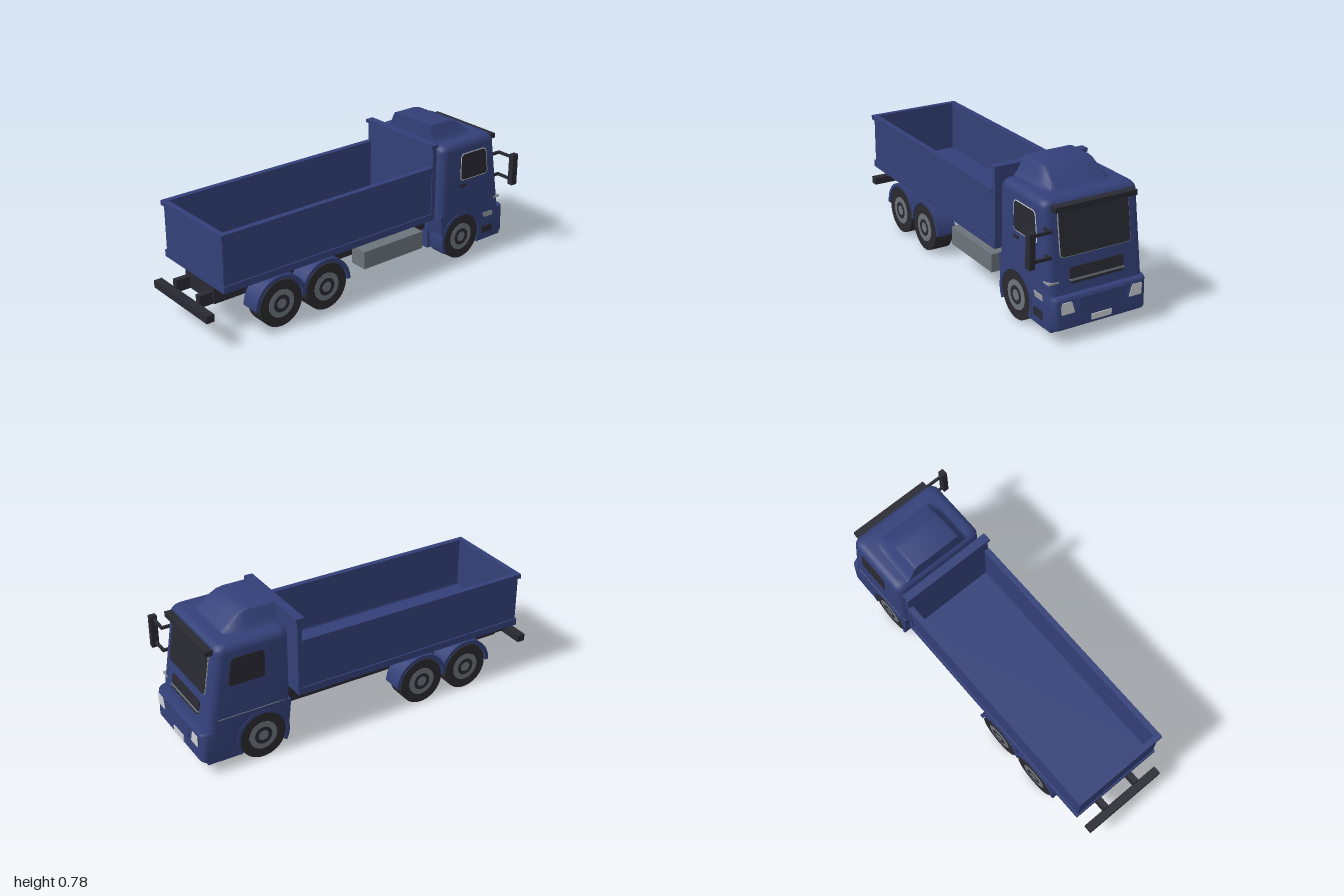
import * as THREE from 'three';
import { toCreasedNormals } from 'three/addons/utils/BufferGeometryUtils.js';

const mat = (name, color) => Object.assign(new THREE.MeshStandardMaterial({ color }), { name });

export function createModel() {
  const blue = mat('bodyBlue', 0x334078);
  const dark = mat('darkTrim', 0x292933);
  const rubber = mat('tyre', 0x2a2a2f);
  const steel = mat('steelGrey', 0x6c737a);
  const lensGrey = mat('lensGrey', 0x95999e);
  const light = mat('lampGrey', 0xcdd1d5);

  // The truck drives along +x; its body is shifted sideways because only one mirror sticks out
  const truck = new THREE.Group();
  truck.name = 'truck';
  truck.position.z = -0.055;

  const add = (name, geo, material, x = 0, y = 0, z = 0, parent = truck) => {
    const m = new THREE.Mesh(geo, material);
    m.name = name;
    m.position.set(x, y, z);
    parent.add(m);
    return m;
  };
  // Box given by its extents
  const box = (name, material, x0, x1, y0, y1, z0, z1) =>
    add(name, new THREE.BoxGeometry(x1 - x0, y1 - y0, z1 - z0), material,
      (x0 + x1) / 2, (y0 + y1) / 2, (z0 + z1) / 2);

  // Polygon with rounded corners
  const roundedShape = (pts, r) => {
    const s = new THREE.Shape();
    const v = pts.map(p => new THREE.Vector2(...p));
    v.forEach((p, i) => {
      const prev = v[(i + v.length - 1) % v.length], next = v[(i + 1) % v.length];
      const a = p.clone().add(prev.clone().sub(p).setLength(r));
      const b = p.clone().add(next.clone().sub(p).setLength(r));
      if (i === 0) s.moveTo(a.x, a.y); else s.lineTo(a.x, a.y);
      s.quadraticCurveTo(p.x, p.y, b.x, b.y);
    });
    s.closePath();
    return s;
  };
  const extrude = (shape, depth) => toCreasedNormals(
    new THREE.ExtrudeGeometry(shape, { depth, bevelEnabled: false, curveSegments: 20 }), 0.6);
  const plate = (pts, r, depth) => extrude(roundedShape(pts, r), depth);
  const rect = (w, y0, y1) => [[-w, y0], [w, y0], [w, y1], [-w, y1]];

  // Closed skin through rings of equal point count, capped at both ends
  const loft = (rings) => {
    const n = rings[0].length, pos = rings.flat(2), idx = [];
    const centre = ring => [0, 1, 2].map(k => ring.reduce((t, p) => t + p[k], 0) / n);
    const first = rings.length * n, last = first + 1;
    pos.push(...centre(rings[0]), ...centre(rings[rings.length - 1]));
    for (let j = 0; j < n; j++) {
      const k = (j + 1) % n, top = (rings.length - 1) * n;
      for (let i = 0; i < rings.length - 1; i++) {
        const a = i * n + j, b = i * n + k;
        idx.push(a, b, b + n, a, b + n, a + n);
      }
      idx.push(k, j, first, top + j, top + k, last);
    }
    const g = new THREE.BufferGeometry();
    g.setAttribute('position', new THREE.Float32BufferAttribute(pos, 3));
    g.setIndex(idx);
    return toCreasedNormals(g.toNonIndexed(), 0.6);
  };
  // Rounded rectangle seen from above at height y
  const planRing = (y, x0, x1, w, r) => {
    const ring = [];
    [[x1 - r, -w + r], [x0 + r, -w + r], [x0 + r, w - r], [x1 - r, w - r]].forEach(([cx, cz], q) => {
      for (let k = 0; k <= 6; k++) {
        const a = (q + k / 6) * Math.PI / 2;
        ring.push([cx + r * Math.cos(a), y, cz - r * Math.sin(a)]);
      }
    });
    return ring;
  };
  const arch = (r0, r1, a0, a1, depth) => {
    const s = new THREE.Shape();
    s.absarc(0, 0, r1, a0, a1, false);
    s.absarc(0, 0, r0, a1, a0, true);
    s.closePath();
    return extrude(s, depth);
  };

  // Cab shell with raked front and rounded roof edge
  const R = 0.043, cabRings = [planRing(0.27, 0.498, 0.95, 0.27, 0.04)];
  for (let k = 0; k <= 6; k++) {
    const a = k / 6 * Math.PI / 2, inset = R * (1 - Math.cos(a));
    cabRings.push(planRing(0.65 + R * Math.sin(a), 0.498 + inset, 0.891 - inset, 0.27 - inset, 0.044));
  }
  add('cabShell', loft(cabRings), blue);
  add('cabNose', loft([planRing(0.2, 0.805, 0.961, 0.27, 0.04), planRing(0.27, 0.805, 0.95, 0.27, 0.04)]), blue);

  // Lower cab with wheel arches, floor between the wheels
  const skirt = new THREE.Shape();
  const low = Math.asin(-0.068 / 0.143);
  skirt.moveTo(0.5, 0.06);
  skirt.absarc(0.66, 0.128, 0.143, Math.PI - low, low, true);
  skirt.lineTo(0.9, 0.06);
  skirt.lineTo(0.9, 0.29);
  skirt.lineTo(0.5, 0.29);
  skirt.closePath();
  add('cabSkirt', extrude(skirt, 0.538), blue, 0, 0, -0.269);
  box('cabFloor', blue, 0.51, 0.88, 0.061, 0.28, -0.158, 0.158);

  // Roof air deflector
  const half = [[1, 0], [0.92, 0.14], [0.86, 0.32], [0.75, 0.82], [0.71, 0.95], [0.64, 1]];
  const across = [...half.map(([z, h]) => [-z, h]), ...half.slice().reverse()];
  add('roofDeflector', loft([[0.515, 0.093], [0.65, 0.093], [0.685, 0.086], [0.72, 0.066], [0.76, 0.036], [0.8, 0.003]]
    .map(([x, h]) => across.map(([z, f]) => [x, 0.69 + h * f, z * 0.198]))), blue);

  // Raked front: windscreen, grille
  const front = new THREE.Group();
  front.name = 'cabFront';
  front.position.set(0.95, 0.27, 0);
  front.rotation.z = Math.atan(0.059 / 0.38);
  truck.add(front);
  const onFront = (name, geo, material, x, y, parent) => {
    add(name, geo, material, x, y, 0, parent).rotation.y = Math.PI / 2;
  };
  onFront('windscreenFrame', plate(rect(0.2015, 0.1435, 0.3725), 0.025, 0.005), lensGrey, 0, 0, front);
  onFront('windscreen', plate(rect(0.198, 0.147, 0.369), 0.023, 0.008), dark, 0, 0, front);
  onFront('grille', plate([[-0.15, 0.01], [0.15, 0.01], [0.156, 0.09], [-0.156, 0.09]], 0.018, 0.006), dark, 0, 0, front);
  onFront('grilleBar', plate(rect(0.154, 0.024, 0.034), 0.002, 0.009), steel, 0, 0, front);
  box('sunVisor', dark, 0.875, 0.928, 0.641, 0.668, -0.231, 0.232);
  box('sideMarker', lensGrey, 0.9, 0.947, 0.295, 0.305, 0.215, 0.272);

  // Bumper with lamps and plate
  add('bumper', loft([[0.072, 0.006], [0.08, 0], [0.225, 0.003], [0.235, 0.01]]
    .map(([y, t]) => planRing(y, 0.83, 0.994 - t, 0.271 - t * 0.3, 0.04))), blue);
  box('bumperLip', blue, 0.82, 0.965, 0.06, 0.074, -0.268, 0.268);
  onFront('bumperPanel', plate([[-0.118, 0.139], [0.118, 0.139], [0.14, 0.223], [-0.14, 0.223]], 0.02, 0.004), blue, 0.993, 0, truck);
  onFront('numberPlate', plate(rect(0.057, 0.09, 0.12), 0.002, 0.005), light, 0.994, 0, truck);

  // Plate on a cab side: s is +1 or -1
  const side = (s, name, pts, r, d, m, off) => add(name, plate(pts, r, d), m, 0, 0, s > 0 ? off : -off - d);
  for (const s of [1, -1]) {
    const lamp = (g) => [[0.23 + g, 0.217 + g], [0.174 - g, 0.217 + g], [0.155 - g, 0.155 - g], [0.23 + g, 0.155 - g]]
      .map(([x, y]) => [x * s, y]);
    onFront('headlightTrim', plate(lamp(0.005), 0.01, 0.003), blue, 0.993, 0, truck);
    onFront('headlight', plate(lamp(0), 0.006, 0.006), light, 0.993, 0, truck);
    side(s, 'sideWindow', [[0.64, 0.472], [0.838, 0.472], [0.816, 0.62], [0.64, 0.62]], 0.022, 0.007, dark, 0.266);
    add('archTrim', arch(0.129, 0.147, low, Math.PI - low, 0.09), blue, 0.66, 0.128, s > 0 ? 0.182 : -0.272);
  }
  // Details on the driver's side only
  side(1, 'sideWindowFrame', [[0.635, 0.467], [0.844, 0.467], [0.821, 0.625], [0.635, 0.625]], 0.025, 0.004, light, 0.2675);
  side(1, 'sideLamp', [[0.835, 0.197], [0.9, 0.197], [0.893, 0.226], [0.82, 0.226]], 0.006, 0.004, lensGrey, 0.269);
  side(1, 'fogLamp', [[0.82, 0.1], [0.9, 0.1], [0.9, 0.142], [0.82, 0.142]], 0.006, 0.004, dark, 0.269);
  side(1, 'doorHandle', [[0.635, 0.43], [0.682, 0.43], [0.682, 0.446], [0.635, 0.446]], 0.004, 0.008, dark, 0.266);
  // Thin trim line on the far side
  box('sideTrimLine', lensGrey, 0.54, 0.905, 0.296, 0.3, -0.271, -0.266);

  // Mirror on the driver's side
  box('mirror', dark, 0.92, 0.958, 0.405, 0.583, 0.355, 0.385);
  for (const y of [0.432, 0.562]) {
    box('mirrorArm', dark, 0.93, 0.943, y - 0.007, y + 0.007, 0.255, 0.357);
    box('mirrorMount', dark, 0.885, 0.943, y - 0.007, y + 0.007, 0.255, 0.268);
  }

  // Wheels: tyre, rim, dark hub ring
  const wheel = (x, s) => {
    const g = new THREE.Group();
    g.name = 'wheel';
    g.position.set(x, 0.128, s * 0.266);
    g.rotation.y = s > 0 ? 0 : Math.PI;
    truck.add(g);
    const disc = (name, r, d, z, m) =>
      add(name, new THREE.CylinderGeometry(r, r, d, 40).rotateX(Math.PI / 2), m, 0, 0, z, g);
    disc('tyre', 0.128, 0.104, -0.052, rubber);
    disc('rim', 0.077, 0.004, 0, steel);
    add('hubRing', new THREE.RingGeometry(0.028, 0.048, 36), dark, 0, 0, 0.0035, g);
    disc('hub', 0.027, 0.006, 0, steel);
  };
  for (const s of [1, -1]) {
    wheel(0.66, s);
    for (const x of [-0.575, -0.29]) {
      wheel(x, s);
      add('rearFender', arch(0.136, 0.155, 0, Math.PI, 0.11), blue, x, 0.128, s > 0 ? 0.159 : -0.269);
    }
  }

  // Chassis, rear guard and side tank
  box('chassis', dark, -0.88, 0.52, 0.17, 0.29, -0.13, 0.13);
  for (const z of [-0.105, 0.105]) box('guardArm', dark, -0.96, -0.87, 0.17, 0.235, z - 0.016, z + 0.016);
  box('rearGuard', dark, -1, -0.955, 0.15, 0.19, -0.243, 0.243);
  box('sideTank', steel, -0.02, 0.39, 0.13, 0.23, 0.14, 0.245);

  // Open cargo bed
  box('bedFloor', blue, -0.9, 0.44, 0.288, 0.32, -0.258, 0.258);
  for (const s of [1, -1]) {
    const strip = (name, x0, x1, y0, y1, z0, z1) =>
      box(name, blue, x0, x1, y0, y1, Math.min(s * z0, s * z1), Math.max(s * z0, s * z1));
    strip('bedSide', -0.9, 0.44, 0.29, 0.59, 0.243, 0.26);
    strip('bedTopRail', -0.915, 0.43, 0.575, 0.6, 0.24, 0.271);
    strip('bedBottomRail', -0.908, 0.45, 0.29, 0.327, 0.24, 0.268);
  }
  box('tailgate', blue, -0.904, -0.885, 0.29, 0.59, -0.259, 0.259);
  box('tailgateTopRail', blue, -0.915, -0.885, 0.575, 0.6, -0.269, 0.269);
  box('tailgateBottomRail', blue, -0.91, -0.885, 0.29, 0.327, -0.267, 0.267);
  box('headboard', blue, 0.43, 0.455, 0.29, 0.715, -0.265, 0.265);
  box('headboardRail', blue, 0.417, 0.464, 0.706, 0.725, -0.27, 0.27);

  const model = new THREE.Group();
  model.name = 'tipperTruck';
  model.add(truck);
  return model;
}
